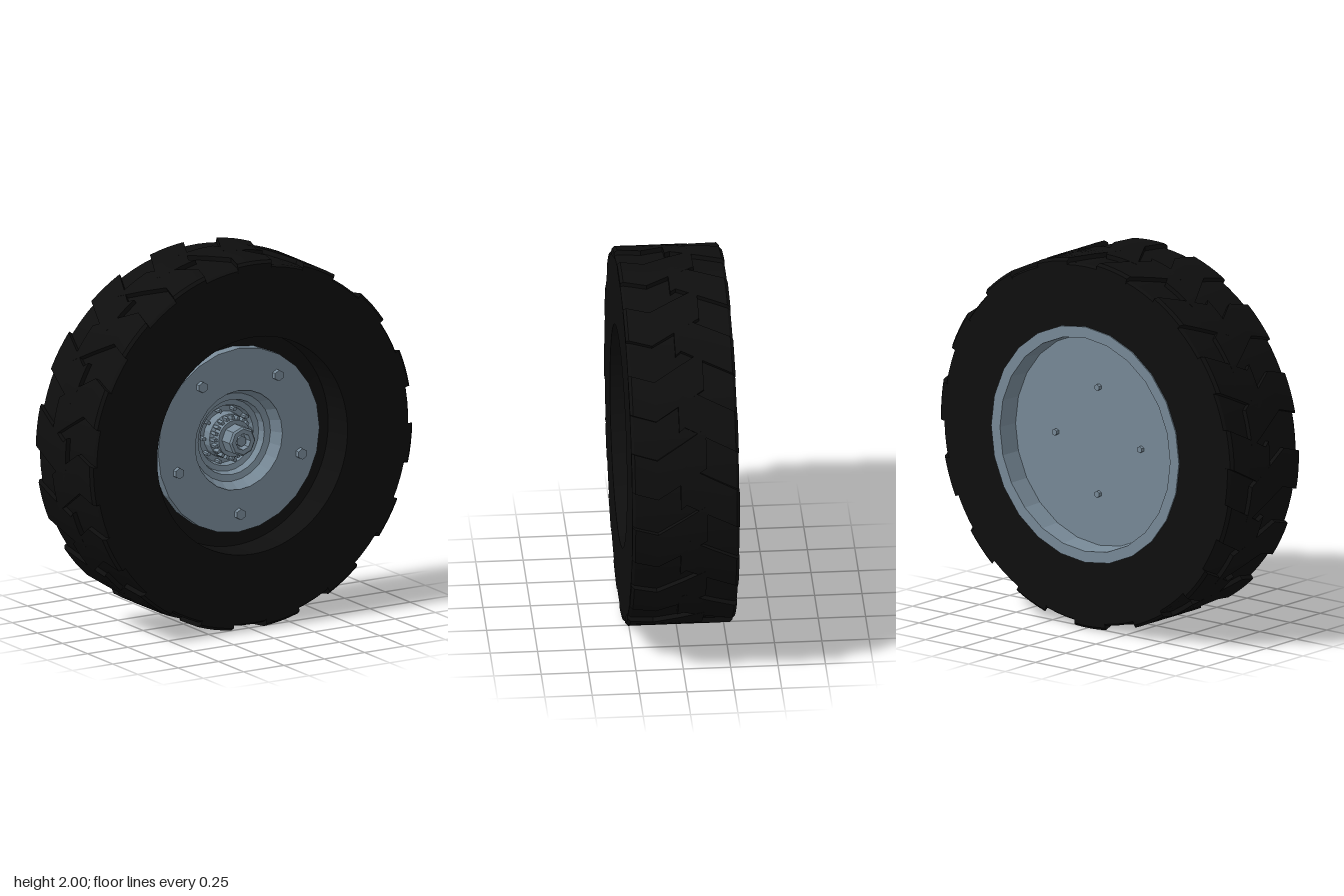
import * as THREE from 'three';
import { toCreasedNormals } from 'three/addons/utils/BufferGeometryUtils.js';

const rubber = new THREE.MeshStandardMaterial({ color: 0x0e0e0e });
rubber.name = 'black rubber';
const steel = new THREE.MeshStandardMaterial({ color: 0x778997 });
steel.name = 'blue grey steel';

const TAU = Math.PI * 2;
const rad = THREE.MathUtils.degToRad;

// Turned part around the z axis from [radius, z] points
function turned(name, points, sides, material, crease = 0.2) {
  const geo = new THREE.LatheGeometry(points.map(([r, z]) => new THREE.Vector2(r, z)), sides);
  geo.rotateX(Math.PI / 2);
  const mesh = new THREE.Mesh(toCreasedNormals(geo, crease), material);
  mesh.name = name;
  return mesh;
}

// Ring of hex bolts along z
function boltRing(name, count, ringRadius, size, zBack, zFront, startDeg) {
  const group = new THREE.Group();
  group.name = name;
  const geo = toCreasedNormals(new THREE.CylinderGeometry(size, size, zFront - zBack, 6), 0.2);
  geo.rotateX(Math.PI / 2);
  for (let i = 0; i < count; i++) {
    const a = rad(startDeg) + (i / count) * TAU;
    const bolt = new THREE.Mesh(geo, steel);
    bolt.name = 'bolt';
    bolt.position.set(ringRadius * Math.cos(a), ringRadius * Math.sin(a), (zBack + zFront) / 2);
    group.add(bolt);
  }
  return group;
}

// Curved tread block: sections [z, start angle in degrees, outer radius], front to back
function lugGeometry(sections, widthDeg) {
  const steps = 4, row = steps + 3, base = 0.955;
  const pos = [], idx = [];
  for (const [z, deg, outer] of sections) {
    const put = (r, a) => pos.push(r * Math.cos(a), r * Math.sin(a), z);
    put(base, rad(deg));
    for (let s = 0; s <= steps; s++) put(outer, rad(deg + (widthDeg * s) / steps));
    put(base, rad(deg + widthDeg));
  }
  for (let i = 0; i < sections.length - 1; i++) {
    for (let j = 0; j < row - 1; j++) {
      const a = i * row + j, b = a + 1, c = a + row, d = c + 1;
      idx.push(a, c, b, b, c, d);
    }
  }
  // End caps
  const last = (sections.length - 1) * row;
  for (let j = 1; j < row - 1; j++) {
    idx.push(0, j, j + 1);
    idx.push(last, last + j + 1, last + j);
  }
  const geo = new THREE.BufferGeometry();
  geo.setAttribute('position', new THREE.Float32BufferAttribute(pos, 3));
  geo.setIndex(idx);
  return toCreasedNormals(geo, 0.2);
}

export function createModel() {
  const wheel = new THREE.Group();
  wheel.name = 'wheel';
  const spin = new THREE.Group();
  spin.name = 'wheelParts';
  spin.position.y = 1;
  wheel.add(spin);

  // Tyre carcass with a recess on the front side
  spin.add(turned('tyre', [
    [0.58, -0.2], [0.6, -0.28], [0.965, -0.28], [0.975, -0.265], [0.975, 0.27], [0.965, 0.285],
    [0.59, 0.285], [0.585, 0.1], [0.45, 0.09],
  ], 90, rubber));

  // Interlocking chevron tread blocks
  const tread = new THREE.Group();
  tread.name = 'tread';
  const frontLug = lugGeometry([
    [0.286, 2.5, 0.985], [0.27, 2.1, 1], [0.15, 0, 1], [0.02, 4.7, 1], [-0.11, 9.4, 1],
  ], 12.2);
  const backLug = lugGeometry([
    [0.03, 20.5, 1], [0, 22, 1], [-0.14, 17.8, 1], [-0.265, 14.2, 1], [-0.281, 13.7, 0.985],
  ], 12.2);
  for (let i = 0; i < 15; i++) {
    for (const [name, geo] of [['frontTreadBlock', frontLug], ['backTreadBlock', backLug]]) {
      const lug = new THREE.Mesh(geo, rubber);
      lug.name = name;
      lug.rotation.z = rad(8.6 + 24 * i);
      tread.add(lug);
    }
  }
  spin.add(tread);

  // Back rim flange and dished back plate
  spin.add(turned('backRim', [
    [0, -0.17], [0.57, -0.17], [0.58, -0.287], [0.64, -0.287], [0.64, -0.26],
  ], 24, steel));

  // Front disc with stepped hub recess
  spin.add(turned('frontDisc', [[0.5, 0.08], [0.5, 0.15], [0.27, 0.15]], 24, steel));
  spin.add(turned('hubRecess', [
    [0.275, 0.15], [0.24, 0.08], [0.205, 0.075], [0.195, 0.035], [0.165, 0.03], [0.155, 0], [0, 0],
  ], 24, steel));

  // Hub and hollow centre nut
  spin.add(turned('hub', [
    [0.125, 0], [0.12, 0.05], [0.1, 0.06], [0.1, 0.11], [0, 0.11],
  ], 20, steel));
  spin.add(turned('centreNut', [
    [0.08, 0.1], [0.08, 0.185], [0.07, 0.195], [0.045, 0.195], [0.042, 0.15], [0, 0.15],
  ], 8, steel));
  spin.add(boltRing('axleBolt', 1, 0, 0.03, 0.14, 0.18, 0));

  // Splines around the hub
  const splines = new THREE.Group();
  splines.name = 'hubSplines';
  const toothGeo = new THREE.BoxGeometry(0.024, 0.016, 0.04);
  for (let i = 0; i < 20; i++) {
    const a = (i / 20) * TAU;
    const tooth = new THREE.Mesh(toothGeo, steel);
    tooth.name = 'spline';
    tooth.position.set(0.106 * Math.cos(a), 0.106 * Math.sin(a), 0.075);
    tooth.rotation.z = a;
    splines.add(tooth);
  }
  spin.add(splines);

  // Fasteners
  spin.add(boltRing('wheelBolts', 5, 0.4, 0.03, 0.14, 0.175, -90));
  spin.add(boltRing('hubBolts', 10, 0.145, 0.012, -0.01, 0.04, 0));
  spin.add(boltRing('backBolts', 4, 0.29, 0.018, -0.19, -0.16, 0));

  return wheel;
}
